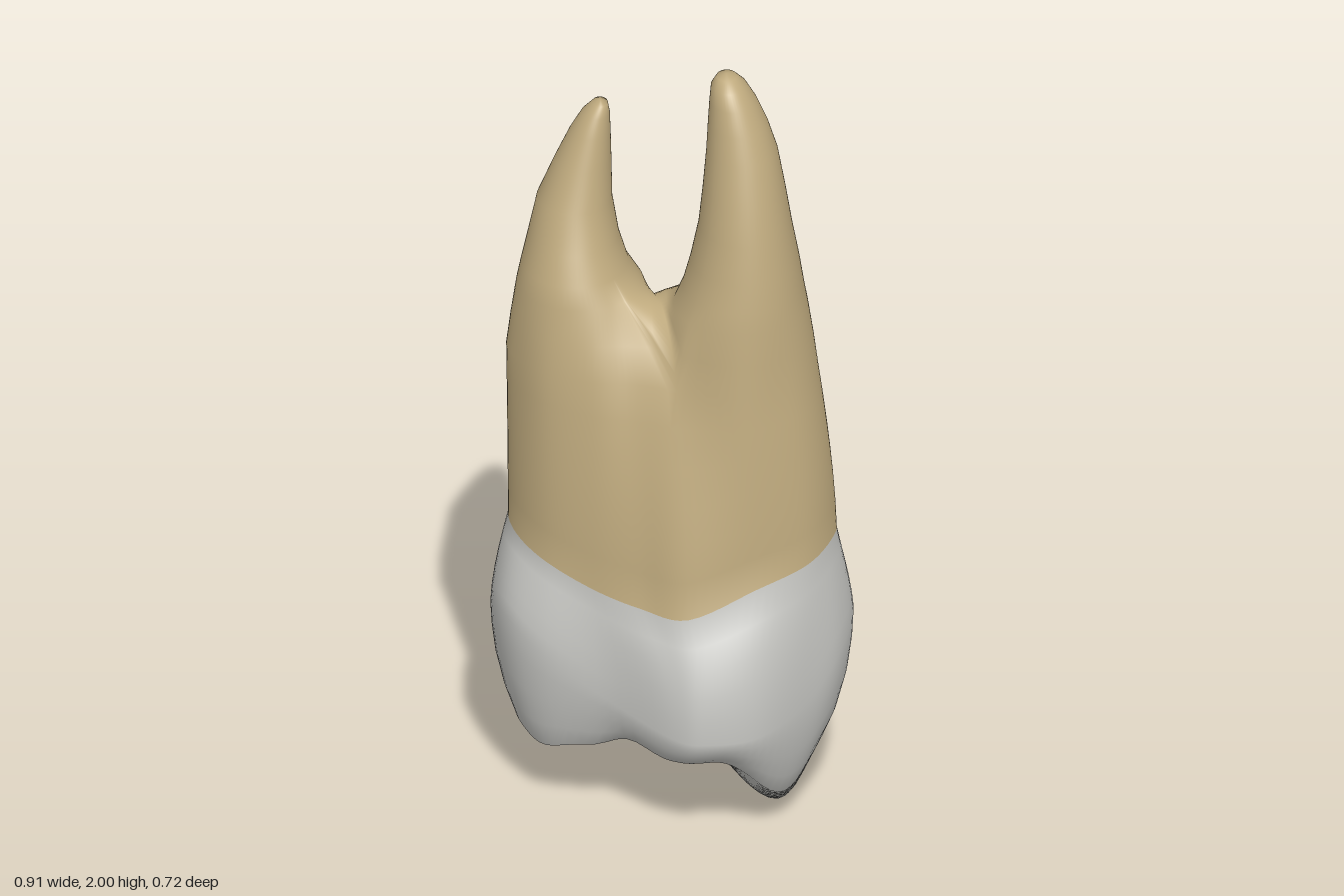
import * as THREE from 'three';
import { mergeVertices } from 'three/addons/utils/BufferGeometryUtils.js';

const N = 96; // points around each cross-section
const V = (x, y, z) => new THREE.Vector3(x, y, z);
const { lerp, smoothstep } = THREE.MathUtils;

// Sixteen-point loops: left side (+x), front (+z), right side, back
const NECK = [
  [0.405, 0.745, -0.02], [0.405, 0.75, 0.07], [0.34, 0.72, 0.165], [0.21, 0.68, 0.225],
  [0.04, 0.615, 0.262], [-0.08, 0.62, 0.21], [-0.2, 0.645, 0.15], [-0.32, 0.685, 0.07],
  [-0.39, 0.71, -0.03], [-0.41, 0.72, -0.14], [-0.37, 0.71, -0.26], [-0.28, 0.68, -0.335],
  [-0.1, 0.65, -0.342], [0.05, 0.637, -0.3], [0.18, 0.635, -0.25], [0.315, 0.68, -0.175],
];
// Widest line of the crown: high on the sides, low at front and back
const BULGE = [
  [0.455, -0.02], [0.43, 0.11], [0.345, 0.215], [0.22, 0.325], [0.09, 0.36], [0, 0.335],
  [-0.16, 0.215], [-0.34, 0.13], [-0.43, 0.02], [-0.455, -0.14], [-0.42, -0.24], [-0.27, -0.345],
  [-0.05, -0.362], [0.12, -0.355], [0.27, -0.315], [0.38, -0.205],
].map(([x, z], i) => [x, 0.31 + 0.21 * Math.cos((i / 8) * Math.PI) ** 4, z]);
const TRUNK_TOP = [
  [0.365, -0.03], [0.355, 0.065], [0.29, 0.143], [0.165, 0.188], [0.01, 0.135], [-0.1, 0.1],
  [-0.2, 0.09], [-0.32, 0.04], [-0.39, -0.05], [-0.415, -0.14], [-0.375, -0.25], [-0.28, -0.325],
  [-0.07, -0.25], [0.08, -0.215], [0.18, -0.215], [0.3, -0.14],
].map(([x, z]) => [x, 1.2, z]);

// Smooth closed ring through a loop of points
function ring(loop) {
  const curve = new THREE.CatmullRomCurve3(loop.map((p) => V(...p)), true, 'catmullrom', 0.5);
  return Array.from({ length: N }, (_, i) => curve.getPoint(i / N));
}

// Triangles between successive closed rings, bottom to top
function loft(rings, out) {
  for (let r = 0; r + 1 < rings.length; r++) {
    const lo = rings[r], hi = rings[r + 1], n = lo.length;
    for (let i = 0; i < n; i++) {
      const j = (i + 1) % n;
      for (const t of [[lo[i], hi[i], lo[j]], [lo[j], hi[i], hi[j]]]) {
        if (t[0].distanceTo(t[1]) > 1e-5 && t[1].distanceTo(t[2]) > 1e-5 && t[0].distanceTo(t[2]) > 1e-5) {
          t.forEach((p) => out.push(p.x, p.y, p.z));
        }
      }
    }
  }
}

// Height of the chewing surface: two cusps with a valley between
const PROFILE = new THREE.SplineCurve([
  [-0.46, 0.4], [-0.41, 0.22], [-0.37, 0.15], [-0.31, 0.115], [-0.2, 0.155], [-0.1, 0.25], [0, 0.24],
  [0.1, 0.145], [0.19, 0.04], [0.255, 0], [0.3, 0.025], [0.345, 0.11], [0.41, 0.26], [0.46, 0.45],
].map(([x, y]) => new THREE.Vector2(x, y))).getPoints(104);
function biteHeight(x, z) {
  let k = 0;
  while (k < PROFILE.length - 2 && x > PROFILE[k + 1].x) k++;
  const a = PROFILE[k], b = PROFILE[k + 1];
  const y = lerp(a.y, b.y, (x - a.x) / (b.x - a.x));
  const side = smoothstep(x, -0.3, 0.25);
  const dz = z - lerp(-0.12, 0.045, side);
  const cusp = smoothstep(Math.abs(x + 0.04), 0, 0.25);
  const slope = dz > 0 ? lerp(-0.08, lerp(0.32, 0.7, side), cusp) : lerp(-0.16, 0.36, cusp);
  return y + (Math.sqrt(dz * dz + 0.0009) - 0.03) * slope;
}

function buildCrown(neck, out) {
  const bulge = ring(BULGE);
  const scaled = (s) => bulge.map((p) => {
    const x = -0.02 + (p.x + 0.02) * s, z = -0.02 + (p.z + 0.02) * s;
    return V(x, biteHeight(x, z), z);
  });
  const rings = Array.from({ length: 21 }, (_, i) => scaled((0.87 * i) / 20));
  const rim = rings[rings.length - 1];
  // Rounded shoulder between the biting edge and the widest line
  for (const [s, t] of [[0.925, 0.78], [0.97, 0.5], [0.993, 0.22]]) {
    rings.push(bulge.map((p, i) => V(
      -0.02 + (p.x + 0.02) * s, lerp(p.y, rim[i].y, t), -0.02 + (p.z + 0.02) * s)));
  }
  rings.push(bulge);
  // Walls narrow late at front and back, sooner on the sides
  for (const t of [0.2, 0.4, 0.6, 0.8]) {
    rings.push(bulge.map((p, i) => {
      const power = 1.85 - 0.5 * Math.cos((i / N) * Math.PI * 4);
      const q = p.clone().lerp(neck[i], t ** power);
      q.y = lerp(p.y, neck[i].y, t);
      return q;
    }));
  }
  rings.push(neck);
  loft(rings, out);
}

// Root stations: [y, centre x, centre z, half width, half depth]
const LEFT_ROOT = [
  [1.375, 0.173, -0.012, 0.17, 0.183], [1.43, 0.18, -0.013, 0.153, 0.176], [1.5, 0.184, -0.013, 0.138, 0.163],
  [1.6, 0.185, -0.015, 0.118, 0.145], [1.7, 0.182, -0.022, 0.104, 0.126], [1.8, 0.177, -0.032, 0.09, 0.104],
  [1.87, 0.167, -0.042, 0.076, 0.09], [1.93, 0.155, -0.05, 0.06, 0.076], [1.97, 0.144, -0.057, 0.045, 0.06],
  [1.993, 0.139, -0.06, 0.026, 0.033], [2, 0.138, -0.06, 0, 0],
];
const RIGHT_ROOT = [
  [1.375, -0.23, -0.138, 0.16, 0.173], [1.43, -0.243, -0.145, 0.135, 0.161], [1.5, -0.246, -0.156, 0.115, 0.138],
  [1.6, -0.243, -0.168, 0.095, 0.11], [1.7, -0.222, -0.175, 0.072, 0.084], [1.78, -0.204, -0.178, 0.052, 0.062],
  [1.83, -0.19, -0.18, 0.036, 0.046], [1.857, -0.179, -0.18, 0.02, 0.029], [1.865, -0.177, -0.18, 0, 0],
];

function buildRoots(neck, out) {
  // Shared trunk
  const top = ring(TRUNK_TOP);
  const trunk = [0, 0.17, 0.34, 0.5, 0.67, 0.84, 1].map((t) => neck.map((p, i) => {
    const q = p.clone().lerp(top[i], t ** 1.5);
    q.y = lerp(p.y, top[i].y, t);
    return q;
  }));
  loft(trunk, out);

  // Arched saddle from front to back between the roots
  const front = top[N / 4], back = top[(3 * N) / 4], M = 24;
  const saddle = Array.from({ length: M - 1 }, (_, i) => {
    const t = (i + 1) / M, p = front.clone().lerp(back, t);
    p.y += 0.155 * Math.sin(Math.PI * t) ** 0.65;
    return p;
  });

  // Each root starts on half of the trunk outline plus the saddle
  const half = (start) => Array.from({ length: N / 2 + 1 }, (_, i) => top[(start + i) % N]);
  const buildRoot = (base, stations) => {
    const [, x0, z0, w, d] = stations[0];
    const angles = base.map((p) => Math.atan2((p.z - z0) / d, (p.x - x0) / w));
    const rings = stations.map(([y, cx, cz, rx, rz]) =>
      angles.map((a) => V(cx + rx * Math.cos(a), y, cz + rz * Math.sin(a))));
    // Ease the outline from the trunk into the round root
    const ease = base.map((p, i) => {
      const q = p.clone().lerp(rings[0][i], 0.45);
      q.y = lerp(p.y, rings[0][i].y, 0.5);
      return q;
    });
    loft([base, ease, ...rings], out);
  };
  buildRoot([...half((3 * N) / 4), ...saddle], LEFT_ROOT);
  buildRoot([...half(N / 4), ...saddle.reverse()], RIGHT_ROOT);
}

export function createModel() {
  const enamel = new THREE.MeshStandardMaterial({ color: 0xc4c4c0 });
  enamel.name = 'enamel';
  const cementum = new THREE.MeshStandardMaterial({ color: 0xbfaa7e });
  cementum.name = 'cementum';

  const neck = ring(NECK), positions = [];
  buildCrown(neck, positions);
  const crownCount = positions.length / 3;
  buildRoots(neck, positions);

  // Weld everything so shading runs smoothly across the neck
  let whole = new THREE.BufferGeometry();
  whole.setAttribute('position', new THREE.Float32BufferAttribute(positions, 3));
  whole = mergeVertices(whole, 1e-5);
  whole.computeVertexNormals();

  const group = new THREE.Group();
  group.name = 'tooth';
  const index = Array.from(whole.index.array);
  const addPart = (name, indices, material) => {
    const geometry = whole.clone();
    geometry.setIndex(indices);
    const mesh = new THREE.Mesh(geometry.toNonIndexed(), material);
    mesh.name = name;
    group.add(mesh);
  };
  addPart('crown', index.slice(0, crownCount), enamel);
  addPart('roots', index.slice(crownCount), cementum);
  return group;
}
